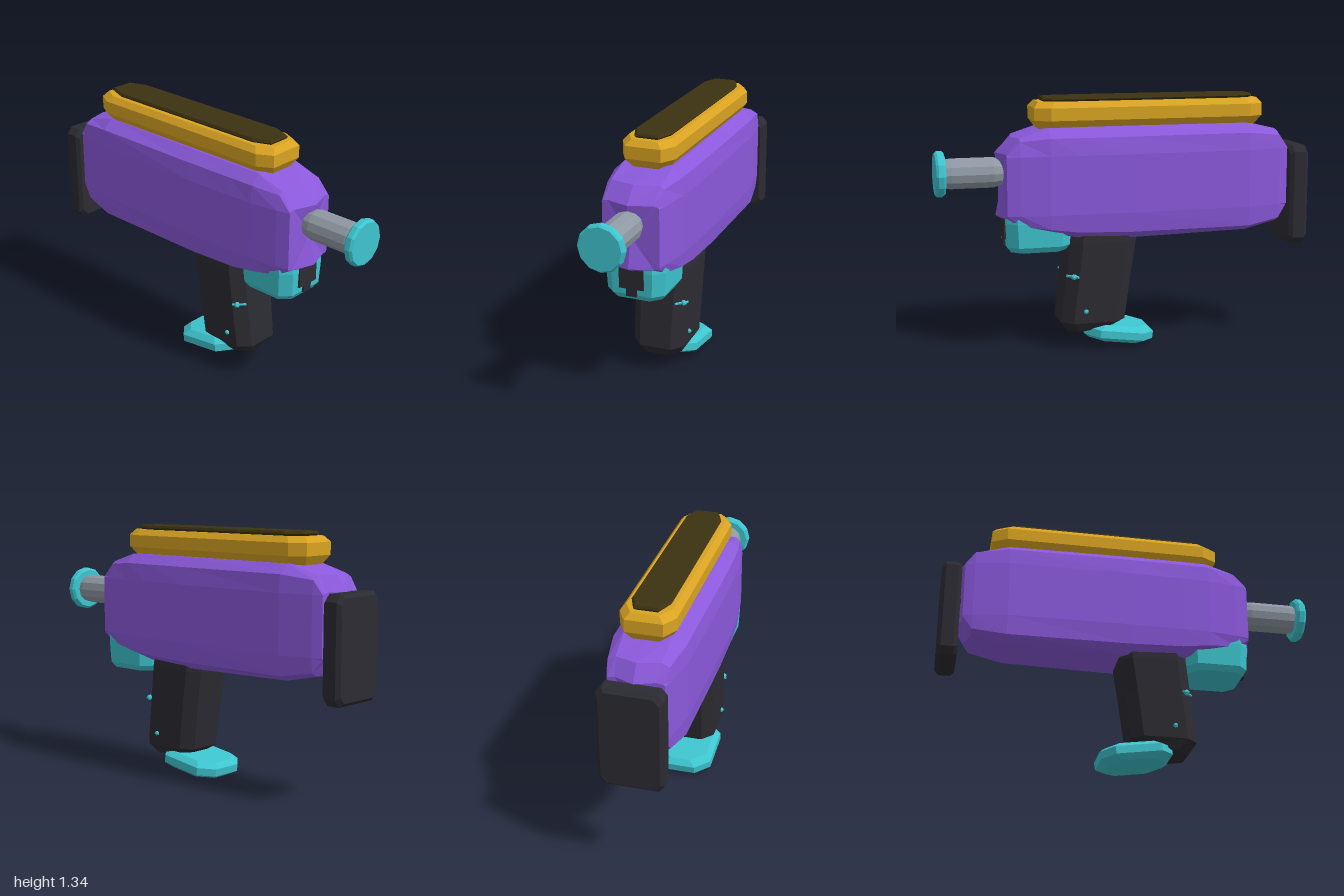
import * as THREE from 'three';

const mat = (name, color) => {
  const m = new THREE.MeshStandardMaterial({ color, flatShading: true });
  m.name = name;
  return m;
};

// Skin a list of rings (each counter-clockwise seen from the end they travel to), with fan caps.
function loft(rings) {
  const pos = [];
  const tri = (a, b, c) => pos.push(...a, ...b, ...c);
  const n = rings[0].length;
  const mid = r => [0, 1, 2].map(k => r.reduce((s, p) => s + p[k], 0) / n);
  const first = rings[0], last = rings[rings.length - 1];
  const c0 = mid(first), c1 = mid(last);
  for (let i = 0; i < n; i++) {
    const j = (i + 1) % n;
    for (let r = 0; r + 1 < rings.length; r++) {
      const a = rings[r], b = rings[r + 1];
      tri(a[i], a[j], b[j]);
      tri(a[i], b[j], b[i]);
    }
    tri(c0, first[j], first[i]);
    tri(c1, last[i], last[j]);
  }
  const g = new THREE.BufferGeometry();
  g.setAttribute('position', new THREE.Float32BufferAttribute(pos, 3));
  g.computeVertexNormals();
  return g;
}

// Eight-sided ring in a horizontal plane, with cut corners.
const octagon = (hx, z0, z1, cx, cz, y) => [
  [hx, y, z1 - cz], [hx, y, z0 + cz], [hx - cx, y, z0], [cx - hx, y, z0],
  [-hx, y, z0 + cz], [-hx, y, z1 - cz], [cx - hx, y, z1], [hx - cx, y, z1],
];

// Bevelled slab: layers are [y, inset].
const slab = (hx, hz, cx, cz, layers) =>
  loft(layers.map(([y, inset]) => octagon(hx - inset, inset - hz, hz - inset, cx, cz, y)));

export function createModel() {
  const model = new THREE.Group();
  const purple = mat('purple shell', 0x8b59dc);
  const gold = mat('gold', 0xdaa422);
  const darkGold = mat('dark top plate', 0x3b3210);
  const teal = mat('teal', 0x3ec5cf);
  const grey = mat('grey metal', 0x8f99a3);
  const black = mat('black rubber', 0x2b2b32);

  const add = (name, geometry, material, x = 0, y = 0, z = 0) => {
    const mesh = new THREE.Mesh(geometry, material);
    mesh.name = name;
    mesh.position.set(x, y, z);
    model.add(mesh);
    return mesh;
  };

  // Body: z, half widths (side, shoulder, top), heights (top, shoulder, lower, bottom), end bulge
  const bodySections = [
    [0.65, 0.15, 0.145, 0.12, 1.06, 1.055, 0.735, 0.73, 0.04],
    [0.58, 0.168, 0.15, 0.13, 1.14, 1.125, 0.69, 0.68, 0.03],
    [0.43, 0.19, 0.18, 0.13, 1.188, 1.14, 0.67, 0.645, 0],
    [0.28, 0.196, 0.183, 0.13, 1.19, 1.14, 0.65, 0.615, 0],
    [0.0, 0.2, 0.185, 0.13, 1.19, 1.14, 0.64, 0.6, 0],
    [-0.65, 0.19, 0.18, 0.12, 1.188, 1.14, 0.64, 0.61, 0],
    [-0.83, 0.158, 0.15, 0.11, 1.14, 1.12, 0.67, 0.65, -0.03],
    [-0.88, 0.14, 0.135, 0.1, 1.06, 1.055, 0.74, 0.735, -0.04],
  ];
  add('body', loft(bodySections.map(([z, w, m, t, top, sh, low, bot, bulge]) => {
    const half = [[t, top], [m, sh], [w, 1.05], [w, 0.745], [m, low], [t, bot]];
    const right = half.map(([x, y]) => [x, y, z]);
    const left = half.map(([x, y]) => [-x, y, z]).reverse();
    return [[0, top, z + bulge], ...right, [0, bot, z + bulge], ...left];
  })), purple);

  // Sight block with its dark plate
  add('topBlock', slab(0.14, 0.62, 0.045, 0.08,
    [[1.18, 0.03], [1.225, 0], [1.29, 0], [1.32, 0.025]]), gold, 0, 0, -0.125);
  add('topPlate', slab(0.098, 0.572, 0.035, 0.09,
    [[1.315, 0.012], [1.33, 0], [1.342, 0.007]]), darkGold, 0, 0, -0.125);

  // Barrel and muzzle disc, turned to point forward
  const turned = points => new THREE.LatheGeometry(
    points.map(([r, h]) => new THREE.Vector2(r, h)), 12).rotateX(Math.PI / 2);
  add('barrel', turned([[0, 0.6], [0.07, 0.66], [0.08, 0.7], [0.08, 0.92], [0.074, 0.96]]), grey, 0, 0.955, 0);
  add('muzzleDisc', turned([[0, 0.95], [0.108, 0.95], [0.12, 0.962], [0.12, 0.988], [0.11, 1], [0, 1]]), teal, 0, 0.955, 0);

  // Rear pad
  add('rearPad', slab(0.165, 0.27, 0.03, 0.035,
    [[0, 0.015], [0.02, 0], [0.085, 0], [0.105, 0.018]]).rotateX(-Math.PI / 2), black, 0, 0.79, -0.895);

  // Front guard under the body, with a stepped black insert
  add('frontGuard', slab(0.16, 0.17, 0.05, 0.05,
    [[0.545, 0.025], [0.575, 0.006], [0.7, 0], [0.73, 0.002]]), teal, 0, 0, 0.48);
  add('guardInsert', new THREE.BoxGeometry(0.13, 0.105, 0.1), black, 0, 0.663, 0.607);
  add('guardInsertStep', new THREE.BoxGeometry(0.055, 0.05, 0.1), black, 0, 0.595, 0.605);

  // Raked grip: y, back z, front z, half width
  const gripSections = [
    [0.085, 0.05, 0.32, 0.11], [0.15, 0.015, 0.365, 0.14],
    [0.4, -0.018, 0.335, 0.147], [0.58, -0.045, 0.315, 0.15], [0.68, -0.055, 0.305, 0.14],
  ];
  const gripRings = gripSections.map(([y, z0, z1, w]) => octagon(w, z0, z1, 0.055, 0.06, y));
  gripRings[0].forEach(p => { p[1] = 0.13 - 0.13 * p[2]; });
  add('grip', loft(gripRings), black);

  // Tilted foot of the grip
  add('gripFoot', slab(0.16, 0.19, 0.075, 0.07,
    [[-0.045, 0.035], [-0.02, 0], [0.02, 0], [0.045, 0.03]]), teal, 0, 0.072, 0.045).rotation.x = -0.14;

  // Small pegs on the grip corners
  for (const s of [1, -1]) {
    const rod = add('gripPegRod', new THREE.CylinderGeometry(0.007, 0.007, 0.075, 6).rotateX(Math.PI / 2),
      teal, s * 0.129, 0.405, 0.308);
    rod.rotation.y = -s * Math.PI / 4;
    add('gripPeg', new THREE.IcosahedronGeometry(0.017, 0), teal, s * 0.14, 0.405, 0.303);
    add('gripStud', new THREE.IcosahedronGeometry(0.014, 0), teal, s * 0.145, 0.215, 0.24);
  }
  return model;
}
